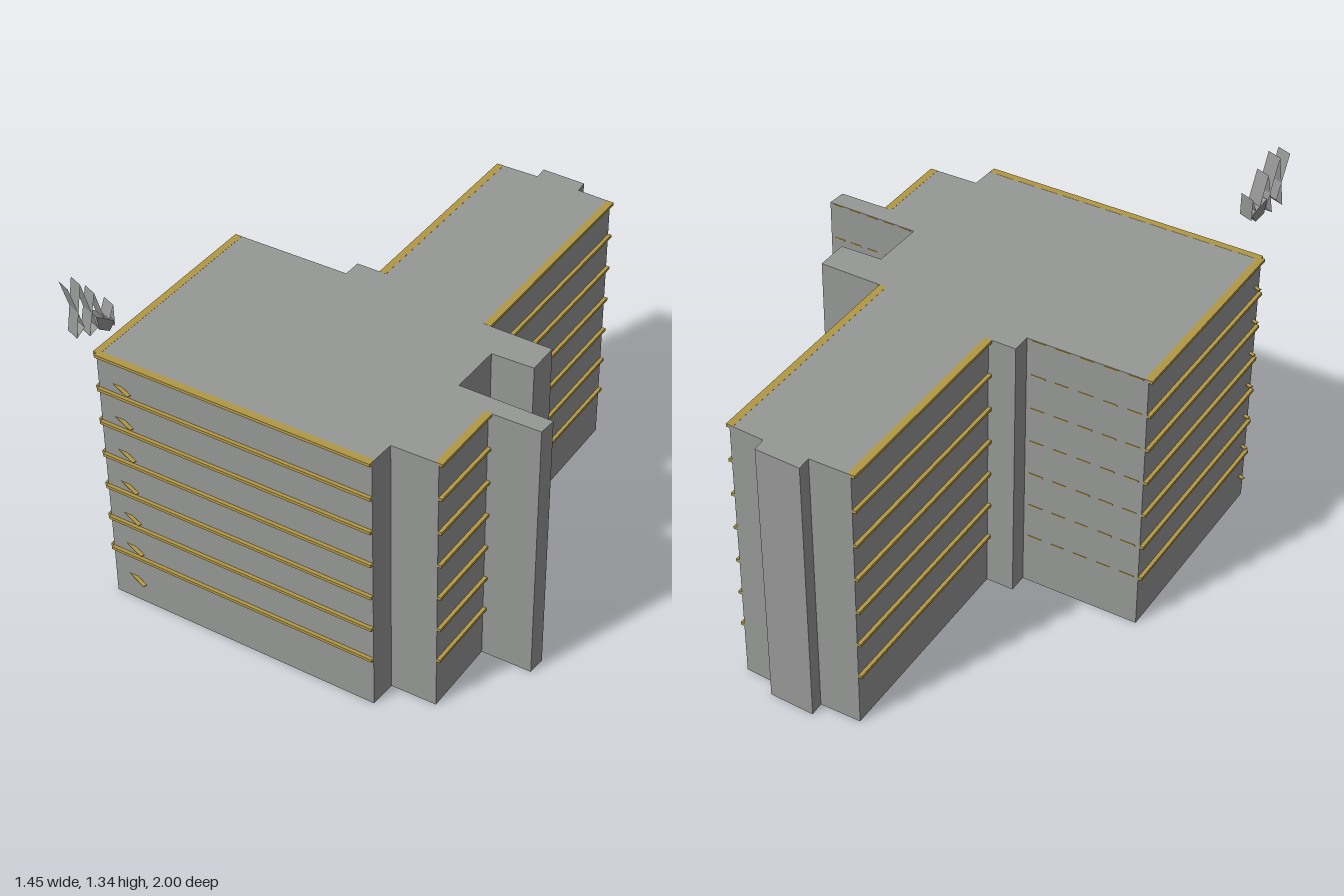
import * as THREE from 'three';

const wallGrey = new THREE.MeshStandardMaterial({ color: 0x969896 });
wallGrey.name = 'wallGrey';
const foldGrey = new THREE.MeshStandardMaterial({ color: 0x929492, side: THREE.DoubleSide });
foldGrey.name = 'foldGrey';
const ledgeGold = new THREE.MeshStandardMaterial({ color: 0xb29845 });
ledgeGold.name = 'ledgeGold';

// Building footprint as [x, z] corners
const footprint = [
  [-0.13, -0.993], [0.19, -0.205], [0.415, -0.29], [0.46, -0.18], [0.32, -0.12], [0.39, 0.063],
  [0.704, -0.058], [0.724, 0.005], [0.553, 0.075], [0.66, 0.346], [0.505, 0.41], [0.537, 0.503],
  [-0.425, 0.88], [-0.715, 0.15], [-0.315, -0.01], [-0.34, -0.074], [-0.247, -0.11],
  [-0.542, -0.838], [-0.405, -0.894], [-0.426, -0.94], [-0.272, -0.995], [-0.25, -0.952],
];
const levels = Array.from({ length: 7 }, (_, i) => 0.995 - i * 0.1333);

function createBuilding() {
  const shape = new THREE.Shape(footprint.map(([x, z]) => new THREE.Vector2(x, -z)));
  const geo = new THREE.ExtrudeGeometry(shape, { depth: 1, bevelEnabled: false });
  geo.rotateX(-Math.PI / 2);
  const mesh = new THREE.Mesh(geo, wallGrey);
  mesh.name = 'building';
  return mesh;
}

// Horizontal strip along the wall from a to b, centred on the wall line
function strip(name, a, b, y, height, depth, from = 0, to = 1) {
  const dx = b[0] - a[0], dz = b[1] - a[1], mid = (from + to) / 2;
  const geo = new THREE.BoxGeometry(Math.hypot(dx, dz) * (to - from), height, depth);
  const mesh = new THREE.Mesh(geo, ledgeGold);
  mesh.position.set(a[0] + dx * mid, y, a[1] + dz * mid);
  mesh.rotation.y = -Math.atan2(dz, dx);
  mesh.name = name;
  return mesh;
}

// Zigzag ribbon, [z, y] points swept across x
function sweptFold(name, points, x0, x1, closed) {
  let geo;
  if (closed) {
    const shape = new THREE.Shape(points.map(([z, y]) => new THREE.Vector2(-z, y)));
    geo = new THREE.ExtrudeGeometry(shape, { depth: x1 - x0, bevelEnabled: false });
    geo.rotateY(Math.PI / 2);
    geo.translate(x0, 0, 0);
  } else {
    const pos = [];
    for (let i = 0; i < points.length - 1; i++) {
      const [za, ya] = points[i], [zb, yb] = points[i + 1];
      pos.push(x0, ya, za, x1, ya, za, x1, yb, zb, x0, ya, za, x1, yb, zb, x0, yb, zb);
    }
    geo = new THREE.BufferGeometry();
    geo.setAttribute('position', new THREE.Float32BufferAttribute(pos, 3));
    geo.computeVertexNormals();
  }
  const mesh = new THREE.Mesh(geo, foldGrey);
  mesh.name = name;
  return mesh;
}

export function createModel() {
  const group = new THREE.Group();
  group.name = 'officeBlock';
  group.add(createBuilding());

  // Floor ledges on the long walls
  const ledges = new THREE.Group();
  ledges.name = 'floorLedges';
  for (const [i, j] of [[0, 1], [8, 9], [11, 12], [12, 13], [16, 17]]) {
    for (const y of levels) {
      ledges.add(strip('ledge', footprint[i], footprint[j], y, 0.011, 0.026));
    }
  }
  group.add(ledges);

  // Faint broken lines on the recessed back wall and fin
  const dashes = new THREE.Group();
  dashes.name = 'backWallDashes';
  for (const [i, j] of [[13, 14], [5, 6]]) {
    for (const y of levels) {
      for (let k = 0; k < 5; k++) {
        dashes.add(strip('dash', footprint[i], footprint[j], y, 0.005, 0.003, k / 5 + 0.04, k / 5 + 0.16));
      }
    }
  }
  group.add(dashes);

  // Small plates through the front corner
  for (const y of levels) {
    const plate = new THREE.Mesh(new THREE.BoxGeometry(0.172, 0.003, 0.014), ledgeGold);
    plate.position.set(-0.371, y - 0.095, 0.853);
    plate.name = 'cornerPlate';
    group.add(plate);
  }

  // Folded ornament floating above the front corner
  const ornament = new THREE.Group();
  ornament.name = 'foldedOrnament';
  ornament.add(sweptFold('ribbon', [
    [1.0, 1.34], [0.955, 1.18], [0.985, 1.15], [0.957, 1.34], [0.91, 1.16], [0.94, 1.14],
    [0.912, 1.29], [0.875, 1.15], [0.85, 1.22], [0.85, 1.14],
  ], -0.395, -0.34, false));
  ornament.add(sweptFold('wedge', [[0.912, 1.2], [0.905, 1.15], [0.87, 1.13], [0.85, 1.16], [0.88, 1.18]],
    -0.395, -0.34, true));
  group.add(ornament);

  return group;
}
